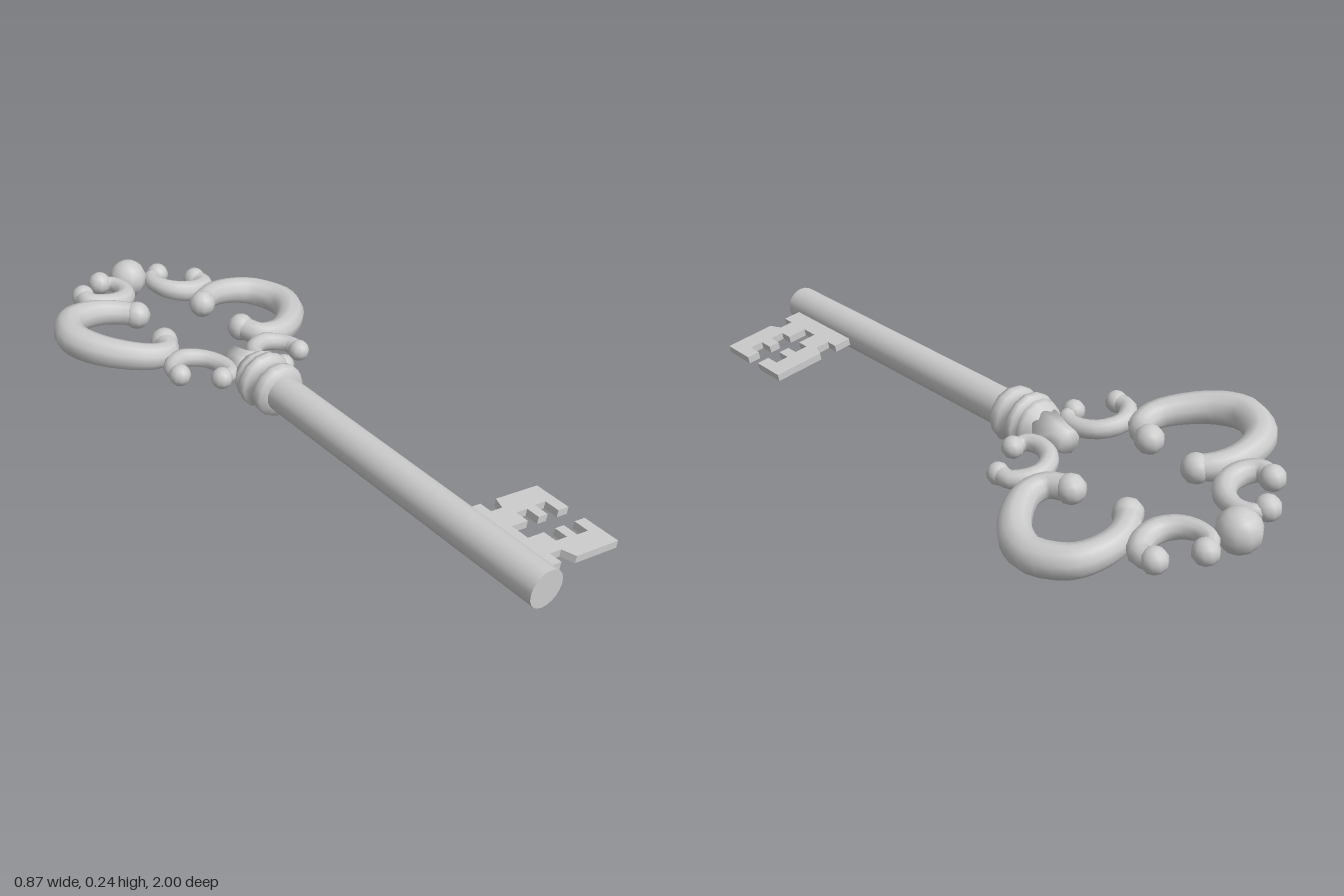
import * as THREE from 'three';

const material = new THREE.MeshStandardMaterial({ color: 0xcccccc });

function add(parent, name, geometry, x = 0, y = 0, z = 0) {
  const mesh = new THREE.Mesh(geometry, material);
  mesh.name = name;
  mesh.position.set(x, y, z);
  parent.add(mesh);
  return mesh;
}

// Scroll: a tube through [x, z, radius] points whose radius follows the points, with a bulb on each end
function addScroll(parent, name, points, side, bulb) {
  const curve = new THREE.CatmullRomCurve3(points.map(([x, z]) => new THREE.Vector3(side * x, 0, z)));
  curve.getUtoTmapping = (u) => u;
  const segments = (points.length - 1) * 3, sides = 10;
  const geometry = new THREE.TubeGeometry(curve, segments, 1, sides);
  const pos = geometry.attributes.position;
  const v = new THREE.Vector3(), c = new THREE.Vector3();
  for (let i = 0; i <= segments; i++) {
    const f = (i / segments) * (points.length - 1);
    const k = Math.min(Math.floor(f), points.length - 2);
    const r = THREE.MathUtils.lerp(points[k][2], points[k + 1][2], f - k);
    curve.getPoint(i / segments, c);
    for (let j = 0; j <= sides; j++) {
      const n = i * (sides + 1) + j;
      v.fromBufferAttribute(pos, n).sub(c).multiplyScalar(r).add(c);
      pos.setXYZ(n, v.x, v.y, v.z);
    }
  }
  const group = new THREE.Group();
  group.name = name;
  parent.add(group);
  add(group, name + 'Tube', geometry);
  for (const p of [points[0], points[points.length - 1]]) {
    add(group, name + 'Bulb', new THREE.SphereGeometry(bulb, 10, 7), side * p[0], 0, p[1]);
  }
}

// Turned part along z from [radius, z] points
function turned(profile, sides) {
  const points = profile.map(([r, z]) => new THREE.Vector2(r, z));
  return new THREE.LatheGeometry(points, sides).rotateX(Math.PI / 2);
}

export function createModel() {
  const model = new THREE.Group();
  model.name = 'key';
  // The whole key lies rolled on its side
  const key = new THREE.Group();
  key.name = 'rolledKey';
  key.position.set(-0.004, 0.125, 0);
  key.rotation.z = -0.18;
  model.add(key);

  // Shaft
  add(key, 'shaft', new THREE.CylinderGeometry(0.056, 0.056, 1.16, 20).rotateX(Math.PI / 2), 0, 0, 0.42);

  // Collar rings and tapering cup
  add(key, 'collar', turned([
    [0, -0.29], [0.035, -0.265], [0.075, -0.21], [0.08, -0.195], [0.07, -0.185],
    [0.085, -0.178], [0.088, -0.165], [0.083, -0.152], [0.07, -0.147], [0.07, -0.12],
    [0.08, -0.115], [0.084, -0.097], [0.078, -0.08], [0.056, -0.072],
  ], 14));
  add(key, 'neck', turned([[0, -0.33], [0.035, -0.33], [0.042, -0.29], [0.062, -0.23], [0, -0.23]], 8));

  // Ball on top of the bow
  add(key, 'crownBall', new THREE.SphereGeometry(0.062, 10, 8), 0, 0, -0.938);

  // Mirrored scrolls of the bow
  for (const side of [-1, 1]) {
    addScroll(key, 'bowLoop', [
      [0.125, -0.68, 0.036], [0.165, -0.715, 0.038], [0.22, -0.737, 0.04], [0.29, -0.735, 0.043],
      [0.35, -0.705, 0.046], [0.395, -0.615, 0.049], [0.375, -0.535, 0.048], [0.31, -0.46, 0.044],
      [0.235, -0.418, 0.04], [0.175, -0.427, 0.036], [0.145, -0.49, 0.036],
    ], side, 0.043);
    addScroll(key, 'upperScroll', [
      [0.112, -0.932, 0.02], [0.075, -0.915, 0.024], [0.063, -0.875, 0.026], [0.08, -0.82, 0.031],
      [0.125, -0.785, 0.034], [0.18, -0.785, 0.034], [0.22, -0.815, 0.031], [0.215, -0.86, 0.03],
    ], side, 0.037);
    addScroll(key, 'lowerScroll', [
      [0.222, -0.285, 0.028], [0.218, -0.335, 0.026], [0.155, -0.375, 0.028], [0.09, -0.345, 0.027],
      [0.064, -0.285, 0.027], [0.075, -0.235, 0.025], [0.115, -0.222, 0.02],
    ], side, 0.033);
  }

  // Bit: outline of one half, mirrored to give both wards
  const half = [
    [0.11, 0.797], [0.11, 0.768], [0.17, 0.768], [0.17, 0.725], [0.212, 0.725], [0.212, 0.768],
    [0.246, 0.768], [0.246, 0.72], [0.288, 0.72], [0.288, 0.768], [0.328, 0.768], [0.328, 0.65],
    [0.168, 0.65], [0.152, 0.69], [0.11, 0.69], [0.11, 0.65], [0.04, 0.65],
  ];
  const mirrored = half.map(([x, z]) => [x, 1.594 - z]).reverse();
  const outline = [...half, ...mirrored.slice(0, -1)];
  const shape = new THREE.Shape(outline.map(([x, z]) => new THREE.Vector2(x, -z)));
  const bit = new THREE.ExtrudeGeometry(shape, { depth: 0.022, bevelEnabled: false });
  add(key, 'bit', bit.rotateX(-Math.PI / 2), 0, -0.011, 0);

  return model;
}
